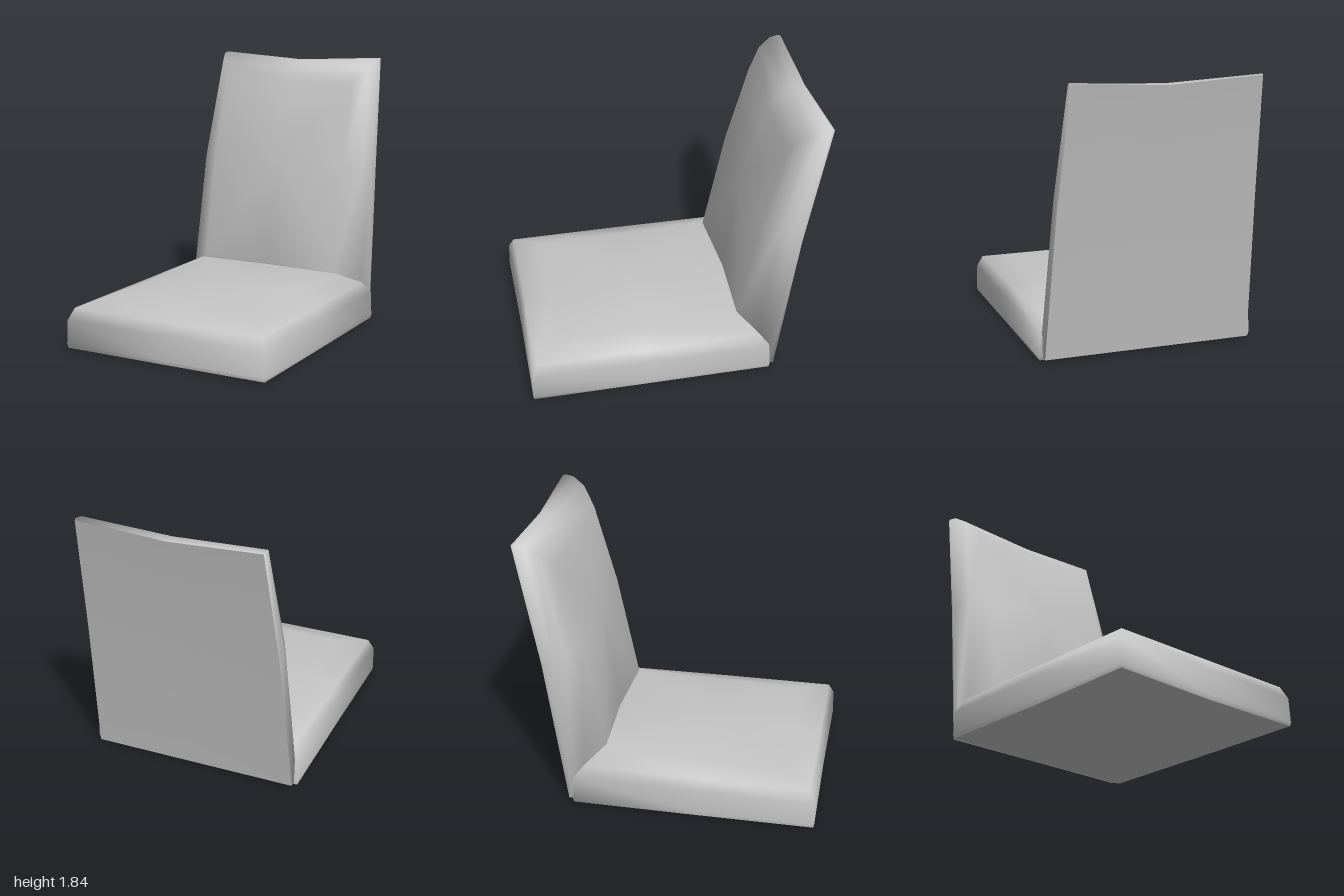
import * as THREE from 'three';

// A half ring runs from the middle of one end, round the +x side, to the middle of the other end.
// Mirroring it gives the eight points of a full loop.
function fullRing(half) {
  const mirrored = half.slice(1, -1).reverse().map(([x, y, z]) => [-x, y, z]);
  return [...half, ...mirrored];
}

function makeGeometry(points, faces) {
  const g = new THREE.BufferGeometry();
  g.setAttribute('position', new THREE.Float32BufferAttribute(points.flat(), 3));
  g.setIndex(faces.flat());
  g.computeVertexNormals();
  return g;
}

// Smooth padded shell: a fan round the crown, then bands between successive loops
function paddedShell(crown, rings) {
  const points = [crown, ...rings.flat()];
  const n = rings[0].length;
  const faces = [];
  for (let i = 0; i < n; i++) {
    const j = (i + 1) % n;
    faces.push([0, 1 + i, 1 + j]);
    for (let r = 0; r < rings.length - 1; r++) {
      const a = 1 + r * n, b = a + n;
      faces.push([a + i, b + i, b + j], [a + i, b + j, a + j]);
    }
  }
  return makeGeometry(points, faces);
}

// Panel closing the open side of the shell
function closingPanel(centre, ring) {
  const n = ring.length;
  return makeGeometry([centre, ...ring], ring.map((_, i) => [0, 1 + (i + 1) % n, 1 + i]));
}

function cushion(name, crown, halves, panelName, panelCentre, material) {
  const rings = halves.map(fullRing);
  const group = new THREE.Group();
  group.name = name;
  const pad = new THREE.Mesh(paddedShell(crown, rings), material);
  pad.name = name + 'Padding';
  const panel = new THREE.Mesh(closingPanel(panelCentre, rings[rings.length - 1]), material);
  panel.name = panelName;
  group.add(pad, panel);
  return group;
}

export function createModel() {
  const upholstery = new THREE.MeshStandardMaterial({ color: 0xc4c4c4 });
  upholstery.name = 'grey upholstery';

  // Seat loops, from the top face down to the underside; front middle to back middle
  const seat = cushion('seat', [0, 0.375, 0.2], [
    [[0, 0.33, 0.78], [0.54, 0.33, 0.78], [0.54, 0.335, 0.17], [0.54, 0.355, -0.44], [0, 0.355, -0.46]],
    [[0, 0.28, 0.96], [0.7, 0.28, 0.96], [0.7, 0.28, 0.2], [0.69, 0.28, -0.57], [0, 0.28, -0.57]],
    [[0, 0.2, 0.99], [0.735, 0.2, 0.995], [0.735, 0.2, 0.18], [0.735, 0.2, -0.635], [0, 0.2, -0.63]],
    [[0, 0.035, 0.995], [0.74, 0.035, 1], [0.735, 0.035, 0.18], [0.74, 0.035, -0.64], [0, 0.035, -0.635]],
    [[0, 0.005, 0.985], [0.735, 0.01, 0.995], [0.73, 0.005, 0.18], [0.735, 0.01, -0.635], [0, 0.005, -0.63]],
  ], 'seatUnderside', [0, 0, 0.18], upholstery);

  // Backrest loops, from the front face to the rear; bottom middle to top middle
  const back = cushion('backrest', [0, 1.1, -0.58], [
    [[0, 0.36, -0.475], [0.52, 0.36, -0.45], [0.52, 1.1, -0.6], [0.51, 1.66, -0.75], [0, 1.66, -0.745]],
    [[0, 0.28, -0.575], [0.68, 0.28, -0.57], [0.64, 1.08, -0.67], [0.59, 1.78, -0.84], [0, 1.755, -0.84]],
    [[0, 0.2, -0.635], [0.715, 0.2, -0.635], [0.67, 1.05, -0.75], [0.62, 1.83, -0.92], [0, 1.8, -0.91]],
    [[0, 0.03, -0.645], [0.715, 0.03, -0.645], [0.675, 1.03, -0.81], [0.628, 1.84, -0.98], [0, 1.805, -0.975]],
    [[0, 0.02, -0.675], [0.71, 0.02, -0.675], [0.67, 1.02, -0.83], [0.622, 1.835, -1], [0, 1.8, -0.993]],
  ], 'backrestRear', [0, 1.02, -0.825], upholstery);

  const model = new THREE.Group();
  model.name = 'cushionSeat';
  model.add(seat, back);
  return model;
}
